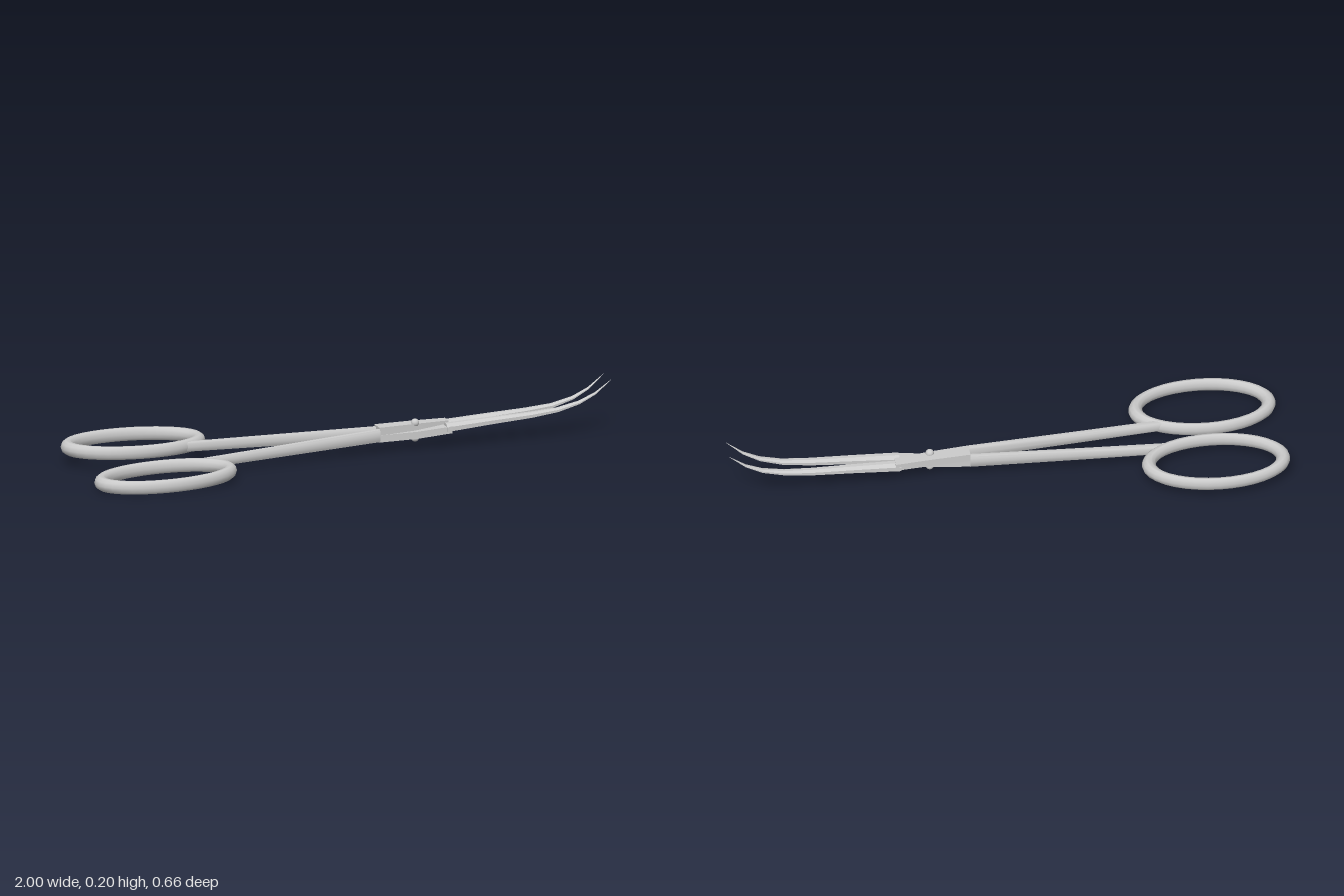
import * as THREE from 'three';
import { toCreasedNormals } from 'three/addons/utils/BufferGeometryUtils.js';

const steel = new THREE.MeshStandardMaterial({ color: 0xcccccc });

// Unit cross-sections as [z, y], running from +z up over the top
const BOX = [[0.5, -0.5], [0.5, 0.5], [-0.5, 0.5], [-0.5, -0.5]];
const ROUND = Array.from({ length: 12 }, (_, i) => {
  const a = (i / 12) * Math.PI * 2;
  const soft = (v) => Math.sign(v) * Math.sqrt(Math.abs(v)) * 0.5;
  return [soft(Math.cos(a)), soft(Math.sin(a))];
});
const BLADE = [[0.5, -0.5], [0.5, 0.1], [0.2, 0.5], [-0.2, 0.5], [-0.5, 0.1], [-0.5, -0.5]];

// Skin a section along stations [x, centre z, width, centre y, height]
function loft(name, section, stations, crease = 0.6) {
  const n = section.length, last = stations.length - 1;
  const pos = [], idx = [];
  for (const [x, z, w, y, h] of stations)
    for (const [u, v] of section) pos.push(x, y + v * h, z + u * w);
  for (let s = 0; s < last; s++)
    for (let i = 0; i < n; i++) {
      const a = s * n + i, b = s * n + ((i + 1) % n);
      idx.push(a, a + n, b, b, a + n, b + n);
    }
  for (let i = 1; i < n - 1; i++) {
    idx.push(0, i, i + 1);
    idx.push(last * n, last * n + i + 1, last * n + i);
  }
  const geo = new THREE.BufferGeometry();
  geo.setAttribute('position', new THREE.Float32BufferAttribute(pos, 3));
  geo.setIndex(idx);
  const mesh = new THREE.Mesh(toCreasedNormals(geo, crease), steel);
  mesh.name = name;
  return mesh;
}

// Oval finger ring
function ring(name, x, y, z, tilt, turn) {
  const geo = new THREE.TorusGeometry(0.24, 0.025, 10, 36);
  geo.rotateX(Math.PI / 2).scale(1, 1, 0.55);
  const mesh = new THREE.Mesh(geo, steel);
  mesh.name = name;
  mesh.position.set(x, y, z);
  mesh.rotation.set(0, turn, tilt);
  return mesh;
}

// Blade sweeping upward to a point; zs are the centres along its length
function blade(name, zs) {
  const sweep = [
    [0.38, 0.04, 0.075, 0.028], [0.55, 0.036, 0.086, 0.022], [0.7, 0.031, 0.094, 0.018],
    [0.8, 0.028, 0.104, 0.013], [0.88, 0.023, 0.124, 0.009], [0.94, 0.015, 0.153, 0.006],
    [1, 0.001, 0.2, 0.001],
  ];
  return loft(name, BLADE, sweep.map(([x, w, y, h], i) => [x, zs[i], w, y, h]), 0.45);
}

export function createModel() {
  const model = new THREE.Group();
  model.name = 'curvedScissors';

  // Half with the front ring, crossing over the top to the rear blade
  const upper = new THREE.Group();
  upper.name = 'upperHalf';
  upper.add(
    ring('frontRing', -0.735, 0.034, 0.183, 0.026, 0.03),
    loft('frontHandle', ROUND, [
      [-0.575, 0.082, 0.026, 0.042, 0.036],
      [-0.3, 0.046, 0.026, 0.051, 0.04],
      [0.13, -0.01, 0.024, 0.066, 0.048],
    ]),
    loft('upperJoint', BOX, [
      [0.13, -0.037, 0.056, 0.08, 0.028],
      [0.27, -0.05, 0.05, 0.08, 0.027],
      [0.4, -0.064, 0.041, 0.078, 0.026],
    ]),
    blade('rearBlade', [-0.064, -0.073, -0.081, -0.086, -0.092, -0.096, -0.1]),
  );

  // Half with the rear ring, passing underneath to the front blade
  const lower = new THREE.Group();
  lower.name = 'lowerHalf';
  lower.add(
    ring('rearRing', -0.733, 0.065, -0.188, 0, -0.03),
    loft('rearHandle', ROUND, [
      [-0.57, -0.085, 0.026, 0.064, 0.036],
      [-0.3, -0.076, 0.026, 0.064, 0.04],
      [0.13, -0.058, 0.024, 0.064, 0.048],
    ]),
    loft('lowerJoint', BOX, [
      [0.13, -0.037, 0.05, 0.052, 0.026],
      [0.27, -0.028, 0.046, 0.056, 0.026],
      [0.4, -0.017, 0.041, 0.068, 0.025],
    ]),
    blade('frontBlade', [-0.017, -0.019, -0.021, -0.022, -0.021, -0.018, -0.013]),
  );

  // Pivot pin with a domed head on each side
  const pivot = new THREE.Group();
  pivot.name = 'pivot';
  pivot.position.set(0.272, 0, -0.036);
  const pin = new THREE.Mesh(new THREE.CylinderGeometry(0.01, 0.01, 0.055, 16), steel);
  pin.name = 'pin';
  pin.position.y = 0.068;
  pivot.add(pin);
  for (const [name, y] of [['topHead', 0.095], ['bottomHead', 0.041]]) {
    const head = new THREE.Mesh(new THREE.SphereGeometry(0.015, 16, 12), steel);
    head.name = name;
    head.position.y = y;
    pivot.add(head);
  }

  model.add(upper, lower, pivot);
  return model;
}
